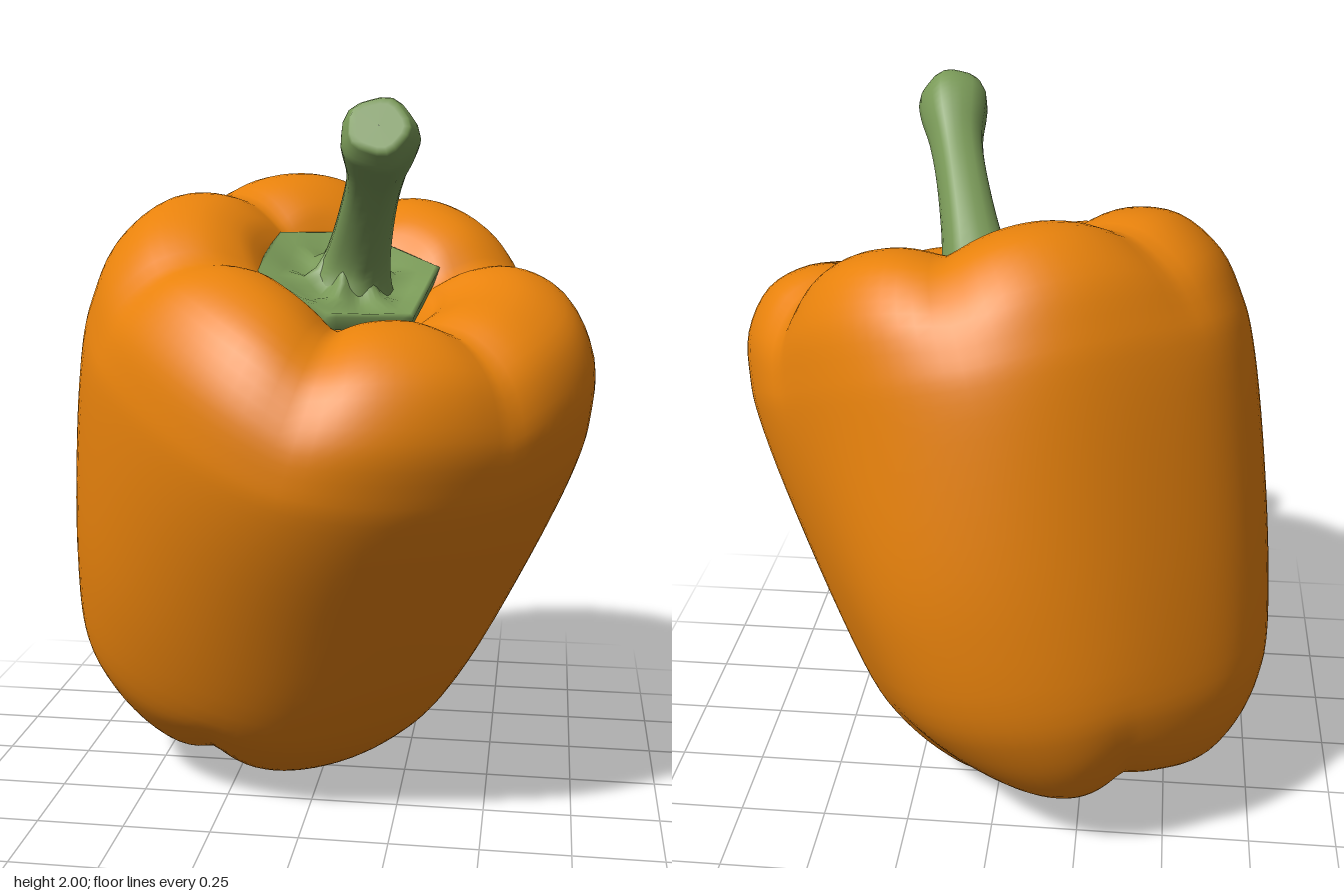
import * as THREE from 'three';

const { smoothstep, degToRad, lerp } = THREE.MathUtils;
const SIDES = 96;

// Skin closed rings of points, listed from bottom to top
function loft(rings) {
  const n = rings[0].length;
  const index = [];
  for (let i = 0; i < rings.length - 1; i++) {
    for (let j = 0; j < n; j++) {
      const k = (j + 1) % n;
      const a = i * n + j, b = i * n + k, c = a + n, d = b + n;
      index.push(a, c, b, b, c, d);
    }
  }
  const geometry = new THREE.BufferGeometry().setFromPoints(rings.flat());
  geometry.setIndex(index);
  geometry.computeVertexNormals();
  return geometry;
}

// Sum of features around the axis, each [angle in degrees, strength, width];
// a low power gives sharp creases, a power of 2 round bulges
function around(features, angle, power) {
  let sum = 0;
  for (const [deg, strength, width] of features) {
    const d = angle - degToRad(deg);
    const gap = Math.abs(Math.atan2(Math.sin(d), Math.cos(d)));
    sum += strength * Math.exp(-Math.pow(gap / width, power));
  }
  return sum;
}

const TOP_CREASES = [[-90, 0.75, 0.22], [-33, 1, 0.18], [45, 0.6, 0.18], [95, 0.9, 0.2], [152, 0.6, 0.2], [215, 0.7, 0.22]];
const BOTTOM_CREASES = [[97, 0.9, 0.22], [252, 0.9, 0.22], [-30, 0.4, 0.22]];
const FLATS = [[-40, -0.075, 0.5], [230, -0.035, 0.4]];
const LOW_BULGES = [[-58, 0.11, 0.45], [-88, 0.03, 0.4], [135, 0.025, 0.4]];
const HIGH_BULGES = [[88, 0.05, 0.45], [0, 0.02, 0.4], [-90, 0.02, 0.4], [135, -0.02, 0.4]];
const BOTTOM_LIFT = [[160, 0.07, 0.6], [235, 0.05, 0.5], [-50, 0.03, 0.5]];

// Lobed body: a profile swept around a leaning axis, with tilted rings
function bodyGeometry() {
  const profile = new THREE.SplineCurve([
    [0.005, 0.16], [0.1, 0.115], [0.25, 0.075], [0.37, 0.105], [0.47, 0.19], [0.545, 0.3],
    [0.595, 0.43], [0.65, 0.7], [0.695, 1.0], [0.714, 1.2], [0.71, 1.31], [0.68, 1.44],
    [0.59, 1.55], [0.46, 1.59], [0.34, 1.57], [0.26, 1.515], [0.2, 1.46], [0.005, 1.42],
  ].map(([r, h]) => new THREE.Vector2(r, h)));

  const rings = profile.getPoints(68).map(({ x: radius, y: h }) => {
    const cx = 0.05 + 0.27 * (h - 1.3), cz = 0.05 + 0.265 * (h - 1.3);
    const tilt = lerp(0.75, 1, smoothstep(h, 0.1, 0.7));
    const topMask = smoothstep(h, 1.15, 1.58);
    const bottomMask = 1 - smoothstep(h, 0.08, 0.48);
    const highMask = smoothstep(h, 0.6, 1.3);
    const lowMask = smoothstep(h, 0.05, 0.5) * (1 - highMask);
    const ring = [];
    for (let j = 0; j < SIDES; j++) {
      const angle = (j / SIDES) * Math.PI * 2;
      const top = around(TOP_CREASES, angle, 1.3) * topMask;
      const bottom = around(BOTTOM_CREASES, angle, 1.3) * bottomMask;
      const bulge = around(FLATS, angle, 2)
        + around(LOW_BULGES, angle, 2) * lowMask
        + around(HIGH_BULGES, angle, 2) * highMask;
      const r = Math.max(radius, 0.002) * (1 + bulge - 0.035 * top - 0.05 * bottom);
      const x = r * Math.cos(angle), z = r * Math.sin(angle);
      const lift = 0.05 * bottom + around(BOTTOM_LIFT, angle, 2) * bottomMask;
      const y = h - tilt * (0.22 * x + 0.33 * z)
        - 0.08 * top * Math.min(1, radius / 0.35)
        + lift * Math.min(1, radius / 0.25);
      ring.push(new THREE.Vector3(cx + x, y, cz + z));
    }
    return ring;
  });
  return loft(rings);
}

// Six-cornered cap of leaf around the stem
function calyxGeometry() {
  const corners = [[0.33, -0.06], [0.285, 0.285], [0.06, 0.4], [-0.16, 0.24], [-0.14, -0.04], [0.08, -0.17]];
  const cx = 0.09, cz = 0.1, perEdge = 8;
  const levels = [[0.95, 1.48], [1, 1.52], [0.95, 1.525], [0.75, 1.505], [0.5, 1.495], [0.36, 1.52], [0.24, 1.57]];
  return loft(levels.map(([scale, h]) => {
    const ring = [];
    corners.forEach(([x0, z0], i) => {
      const [x1, z1] = corners[(i + 1) % corners.length];
      for (let k = 0; k < perEdge; k++) {
        const t = k / perEdge;
        const x = (lerp(x0, x1, t) - cx) * scale;
        const z = (lerp(z0, z1, t) - cz) * scale;
        // Small radial ridge running out to each corner
        const ridge = 0.02 * Math.cos(t * Math.PI * 2) * (1 - scale);
        ring.push(new THREE.Vector3(cx + x, h + ridge - 0.22 * x - 0.33 * z, cz + z));
      }
    });
    return ring;
  }));
}

// Curved stem with a flared foot and a swollen, blunt tip
function stemGeometry() {
  const path = new THREE.CatmullRomCurve3([
    [0.085, 1.46, 0.08], [0.11, 1.56, 0.115], [0.15, 1.7, 0.22], [0.185, 1.81, 0.335], [0.205, 1.89, 0.435], [0.21, 1.925, 0.5],
  ].map((p) => new THREE.Vector3(...p)));
  const girth = new THREE.SplineCurve([
    [0, 0.135], [0.1, 0.103], [0.25, 0.084], [0.5, 0.074], [0.68, 0.078], [0.82, 0.096], [0.92, 0.1], [1, 0.075],
  ].map(([t, r]) => new THREE.Vector2(t, r)));

  const samples = girth.getPoints(28);
  samples.push(new THREE.Vector2(1, 0.06), new THREE.Vector2(1, 0.001));
  return loft(samples.map(({ x, y: r }) => {
    const t = THREE.MathUtils.clamp(x, 0, 1);
    const centre = path.getPointAt(t);
    const tangent = path.getTangentAt(t);
    const side = new THREE.Vector3(1, 0, 0).addScaledVector(tangent, -tangent.x).normalize();
    const front = side.clone().cross(tangent);
    return Array.from({ length: 20 }, (_, j) => {
      const a = (j / 20) * Math.PI * 2;
      const bump = r * (1 + 0.04 * Math.cos(5 * a));
      return centre.clone()
        .addScaledVector(side, bump * Math.cos(a))
        .addScaledVector(front, bump * Math.sin(a));
    });
  }));
}

export function createModel() {
  const model = new THREE.Group();
  model.name = 'bellPepper';
  const orange = new THREE.MeshStandardMaterial({ color: 0xe8820c });
  const green = new THREE.MeshStandardMaterial({ color: 0x7a9a58 });
  const leaf = green.clone();
  leaf.side = THREE.DoubleSide;

  const add = (name, geometry, material) => {
    const mesh = new THREE.Mesh(geometry, material);
    mesh.name = name;
    model.add(mesh);
  };
  add('body', bodyGeometry(), orange);
  add('calyx', calyxGeometry(), leaf);
  add('stem', stemGeometry(), green);
  return model;
}
